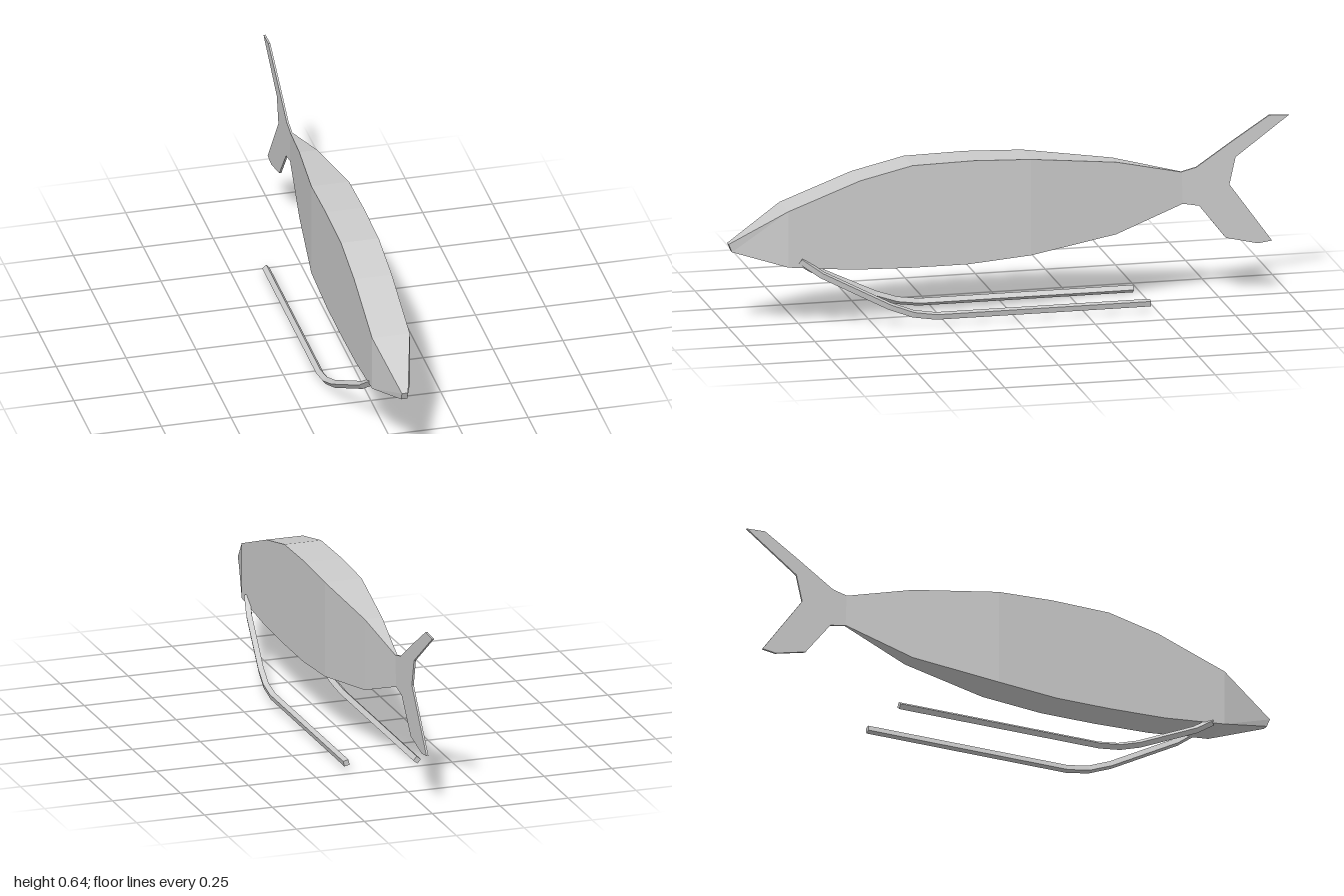
import * as THREE from 'three';

const CENTRE = -0.0035; // the body sits slightly off the skids' mid line

const material = () => new THREE.MeshStandardMaterial({ color: 0xcccccc, flatShading: true });

// Joins four-cornered rings (counter-clockwise seen from +z, front to back) into a capped solid
function loft(rings) {
  const pos = [];
  const quad = (a, b, c, d) => [a, b, c, a, c, d].forEach((p) => pos.push(p.x, p.y, p.z));
  for (let i = 0; i < rings.length - 1; i++) {
    const r = rings[i], s = rings[i + 1];
    for (let j = 0; j < 4; j++) {
      const k = (j + 1) % 4;
      quad(r[j], s[j], s[k], r[k]);
    }
  }
  quad(...rings[0]);
  quad(...[...rings[rings.length - 1]].reverse());
  const geometry = new THREE.BufferGeometry();
  geometry.setAttribute('position', new THREE.Float32BufferAttribute(pos, 3));
  geometry.computeVertexNormals();
  return geometry;
}

function addMesh(group, name, geometry) {
  const mesh = new THREE.Mesh(geometry, material());
  mesh.name = name;
  group.add(mesh);
  return mesh;
}

// Slab-sided body: top z, top y, bottom z, bottom y, half width
function bodyGeometry() {
  const stations = [
    [1.0, 0.303, 0.988, 0.274, 0.011],
    [0.8, 0.423, 0.8, 0.222, 0.0675],
    [0.544, 0.518, 0.57, 0.2, 0.0675],
    [0.357, 0.561, 0.36, 0.194, 0.0675],
    [0.14, 0.565, 0.16, 0.194, 0.0675],
    [-0.065, 0.557, -0.065, 0.212, 0.0675],
    [-0.378, 0.518, -0.378, 0.259, 0.032],
    [-0.618, 0.46, -0.622, 0.346, 0.0035],
  ];
  return loft(stations.map(([tz, ty, bz, by, w]) => [
    new THREE.Vector3(CENTRE - w, by, bz),
    new THREE.Vector3(CENTRE + w, by, bz),
    new THREE.Vector3(CENTRE + w, ty, tz),
    new THREE.Vector3(CENTRE - w, ty, tz),
  ]));
}

// Forked tail fin: outline in (z, y), extruded across x
function tailGeometry() {
  const outline = [
    [-0.614, 0.46], [-0.67, 0.474], [-0.8, 0.561], [-0.93, 0.645], [-1, 0.642],
    [-0.81, 0.502], [-0.788, 0.405], [-0.94, 0.194], [-0.89, 0.187],
    [-0.775, 0.214], [-0.68, 0.335], [-0.622, 0.346],
  ];
  const shape = new THREE.Shape(outline.map(([z, y]) => new THREE.Vector2(-z, y)));
  const geometry = new THREE.ExtrudeGeometry(shape, { depth: 0.007, bevelEnabled: false });
  return geometry.rotateY(Math.PI / 2).translate(CENTRE - 0.0035, 0, 0);
}

// Square bar swept along a bent path that lies in a splayed plane
function skidGeometry(side) {
  const drop = side < 0 ? 0.018 : 0;
  const path = [
    [0.06, 0.243, 0.755], [0.077, 0.193, 0.685], [0.116, 0.075, 0.45],
    [0.126, 0.046, 0.37], [0.13, 0.034, 0.29], [0.13, 0.034, -0.475],
  ].map(([x, y, z]) => new THREE.Vector3(side * x, y - drop, z));
  const across = new THREE.Vector3(0.95, 0.32 * side, 0).normalize();
  const spin = THREE.MathUtils.degToRad(32), half = 0.0098;
  return loft(path.map((p, i) => {
    const tangent = new THREE.Vector3();
    if (i > 0) tangent.add(p.clone().sub(path[i - 1]).normalize());
    if (i < path.length - 1) tangent.add(path[i + 1].clone().sub(p).normalize());
    const up = across.clone().cross(tangent.normalize()).normalize();
    return [0, 1, 2, 3].map((j) => {
      const angle = -spin + (j - 1.5) * Math.PI / 2 - Math.PI / 4 + Math.PI / 4;
      const r = half * Math.SQRT2;
      return p.clone()
        .addScaledVector(across, r * Math.cos(angle + Math.PI / 2 - Math.PI / 2))
        .addScaledVector(up, r * Math.sin(angle));
    });
  }));
}

export function createModel() {
  const group = new THREE.Group();
  group.name = 'fishOnSkids';
  addMesh(group, 'body', bodyGeometry());
  // The fin's thin plate lies in the vertical mid plane
  addMesh(group, 'tailFin', tailGeometry());
  addMesh(group, 'leftSkid', skidGeometry(1));
  addMesh(group, 'rightSkid', skidGeometry(-1));
  return group;
}
